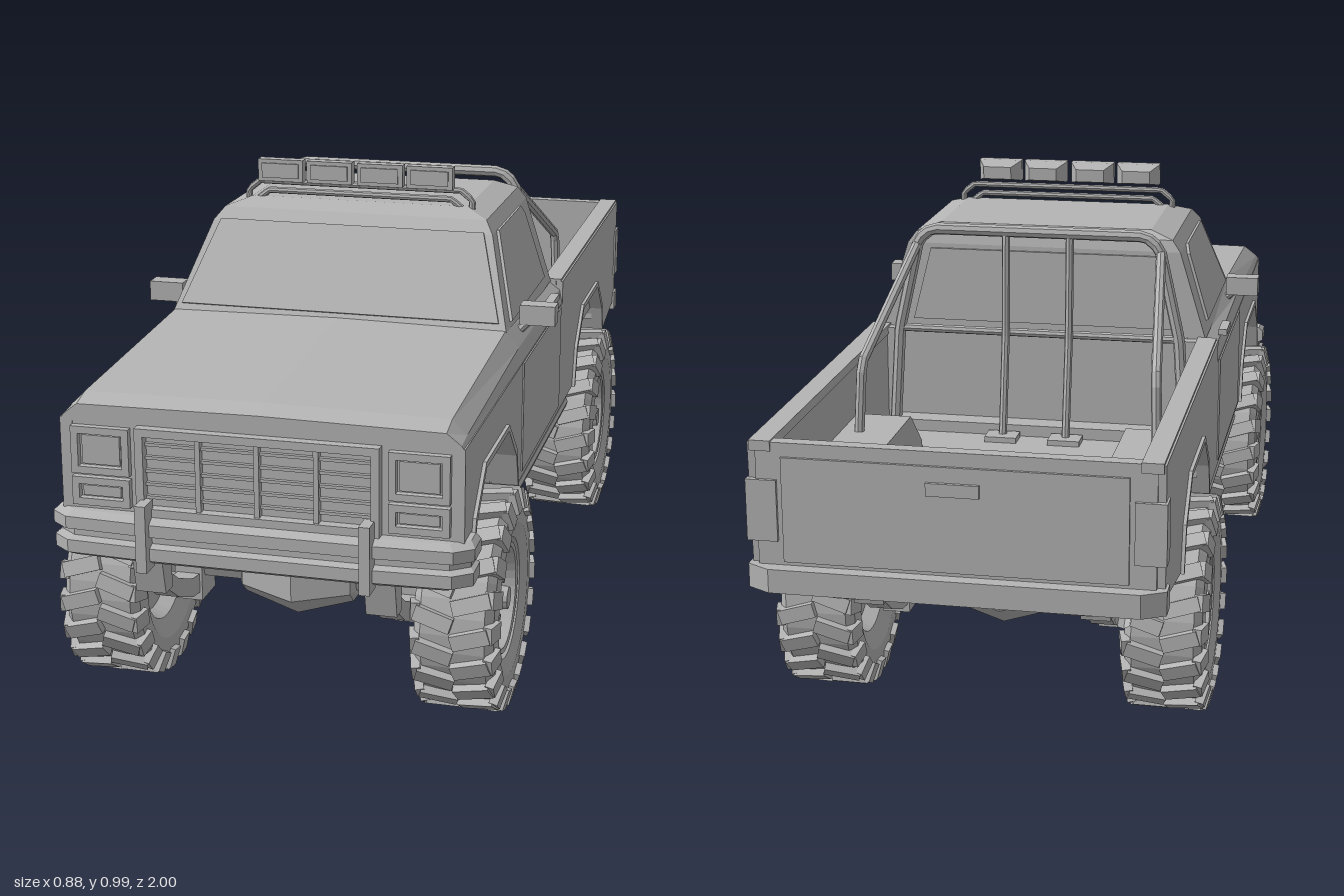
import * as THREE from 'three';
import { mergeGeometries } from 'three/addons/utils/BufferGeometryUtils.js';

const grey = new THREE.MeshStandardMaterial({ color: 0xb4b4b4, flatShading: true, side: THREE.DoubleSide });
grey.name = 'plain grey';
const V = (x, y, z) => new THREE.Vector3(x, y, z);

export function createModel() {
  const truck = new THREE.Group();
  truck.name = 'pickupTruck';

  function add(name, geometry, parent = truck) {
    const mesh = new THREE.Mesh(geometry, grey);
    mesh.name = name;
    parent.add(mesh);
    return mesh;
  }
  // Box given by its lower and upper limits
  const box = (name, [x0, x1], [y0, y1], [z0, z1]) => add(name,
    new THREE.BoxGeometry(x1 - x0, y1 - y0, z1 - z0).translate((x0 + x1) / 2, (y0 + y1) / 2, (z0 + z1) / 2));
  const span = (s, a, b) => s > 0 ? [a, b] : [-b, -a];

  // Pipe with mitred bends through a few points
  function pipe(name, points, r) {
    const path = new THREE.CurvePath();
    for (let i = 1; i < points.length; i++) path.add(new THREE.LineCurve3(V(...points[i - 1]), V(...points[i])));
    return add(name, new THREE.TubeGeometry(path, 10 * (points.length - 1), r, 8));
  }
  // Closed skin through rings of points, capped at both ends
  function loft(name, rings) {
    const n = rings[0].length, pos = [];
    const tri = (...p) => p.forEach(q => pos.push(...q));
    for (let k = 0; k + 1 < rings.length; k++) for (let i = 0; i < n; i++) {
      const j = (i + 1) % n, a = rings[k], b = rings[k + 1];
      tri(a[i], a[j], b[j]);
      tri(a[i], b[j], b[i]);
    }
    const last = rings[rings.length - 1];
    for (let i = 1; i + 1 < n; i++) {
      tri(rings[0][0], rings[0][i + 1], rings[0][i]);
      tri(last[0], last[i], last[i + 1]);
    }
    const g = new THREE.BufferGeometry();
    g.setAttribute('position', new THREE.Float32BufferAttribute(pos, 3));
    g.computeVertexNormals();
    return add(name, g);
  }
  // Thin plate from a flat outline pushed along an offset
  const plate = (name, pts, [dx, dy, dz]) => loft(name, [pts, pts.map(([x, y, z]) => [x + dx, y + dy, z + dz])]);
  // Side outline (z, y) extruded across x
  function sidePanel(name, pts, [x0, x1]) {
    const shape = new THREE.Shape(pts.map(p => new THREE.Vector2(...p)));
    const g = new THREE.ExtrudeGeometry(shape, { depth: x1 - x0, bevelEnabled: false });
    return add(name, g.rotateY(-Math.PI / 2).translate(x1, 0, 0));
  }

  const axles = [0.67, -0.5];
  const arch = (z, grow = 0) => [[0.22, 0.37], [0.195, 0.45], [0.11, 0.53], [-0.11, 0.53], [-0.195, 0.45], [-0.22, 0.37]]
    .map(([dz, y]) => [z + dz * (1 + grow), y === 0.37 ? y : y + grow * 0.3]);

  // Hood, cowl and cab shoulders
  const hood = [[-0.1, 0.65, 0.672], [0.4, 0.655, 0.688], [0.9, 0.632, 0.66], [0.945, 0.626, 0.648]];
  loft('hoodAndShoulders', hood.map(([z, a, b]) => [[-0.39, 0.615, z], [0.39, 0.615, z], [0.383, a, z],
    [0.355, b, z], [0, b + 0.004, z], [-0.355, b, z], [-0.383, a, z]]));

  // Cab
  const cab = [[0.67, 0.362, 0.412, -0.1], [0.86, 0.303, 0.287, -0.095], [0.885, 0.285, 0.262, -0.088], [0.902, 0.235, 0.22, -0.065]];
  loft('cab', cab.map(([y, w, f, b]) => [[w, y, f], [w, y, b], [-w, y, b], [-w, y, f]]));
  const cabX = y => 0.362 - (y - 0.67) * 0.31;
  const cabZ = y => 0.412 - (y - 0.67) * 0.658;
  plate('windshield', [[-0.34, 0.7], [0.34, 0.7], [0.285, 0.862], [-0.285, 0.862]].map(([x, y]) => [x, y, cabZ(y)]), [0, 0.003, 0.006]);
  plate('rearWindow', [[0.29, 0.69, -0.1], [-0.29, 0.69, -0.1], [-0.25, 0.85, -0.096], [0.25, 0.85, -0.096]], [0, 0, -0.006]);

  // Floors, engine bay and bed
  box('chassisCore', [-0.25, 0.25], [0.385, 0.62], [-0.1, 0.9]);
  box('cabFloor', [-0.375, 0.375], [0.385, 0.62], [-0.1, 0.44]);
  box('frontFascia', [-0.388, 0.388], [0.44, 0.618], [0.88, 0.944]);
  box('bedFloor', [-0.235, 0.235], [0.42, 0.45], [-0.96, -0.1]);
  box('bedFrontWall', [-0.375, 0.375], [0.42, 0.67], [-0.125, -0.098]);
  box('tailgate', [-0.375, 0.375], [0.41, 0.672], [-0.972, -0.945]);
  box('tailgatePanel', [-0.325, 0.325], [0.44, 0.645], [-0.978, -0.97]);
  box('tailgateHandle', [-0.05, 0.05], [0.59, 0.615], [-0.985, -0.977]);

  for (const s of [1, -1]) {
    // Body sides with wheel openings
    sidePanel('bodySide', [[0.945, 0.62], [0.945, 0.44], [0.91, 0.375], ...arch(axles[0]), ...arch(axles[1]),
      [-0.96, 0.41], [-0.97, 0.67], [-0.1, 0.67], [-0.1, 0.62]], span(s, 0.365, 0.39));
    box('bedRail', span(s, 0.345, 0.386), [0.655, 0.675], [-0.975, -0.1]);
    box('bedInnerWall', span(s, 0.347, 0.366), [0.45, 0.66], [-0.96, -0.1]);
    box('bedFloorFront', span(s, 0.235, 0.37), [0.42, 0.45], [-0.3, -0.1]);
    box('bedFloorRear', span(s, 0.235, 0.37), [0.42, 0.45], [-0.96, -0.7]);
    for (const z of axles) {
      sidePanel('wheelWell', [...arch(z, 0.06), ...arch(z).reverse()], span(s, 0.24, 0.387));
      sidePanel('wheelWellInnerWall', arch(z, 0.06), span(s, 0.23, 0.245));
      sidePanel('archLip', [...arch(z, 0.04), ...arch(z).reverse()], span(s, 0.38, 0.397));
    }
    // Doors and side glass
    box('door', span(s, 0.388, 0.393), [0.385, 0.618], [-0.07, 0.385]);
    box('doorHandle', span(s, 0.38, 0.399), [0.655, 0.668], [0.0, 0.08]);
    plate('sideWindow', [[0.35, 0.695], [0.245, 0.86], [0.0, 0.86], [-0.02, 0.84], [-0.03, 0.695]]
      .map(([z, y]) => [s * cabX(y), y, z]), [s * 0.006, 0.002, 0]);
    // Door mirror
    box('mirror', span(s, 0.368, 0.442), [0.68, 0.722], [0.275, 0.315]);
    pipe('mirrorArm', [[s * 0.36, 0.66, 0.31], [s * 0.39, 0.69, 0.3]], 0.009);
    // Headlamps
    for (const [y0, y1] of [[0.515, 0.608], [0.452, 0.508]]) {
      const [x0, x1] = span(s, 0.25, 0.365), f = 0.014;
      box('lampRimTop', [x0, x1], [y1 - f, y1], [0.94, 0.958]);
      box('lampRimBottom', [x0, x1], [y0, y0 + f], [0.94, 0.958]);
      box('lampRimSide', [x0, x0 + f], [y0, y1], [0.94, 0.958]);
      box('lampRimSide', [x1 - f, x1], [y0, y1], [0.94, 0.958]);
      box('lampLens', [x0 + 0.02, x1 - 0.02], [y0 + 0.018, y1 - 0.018], [0.94, 0.951]);
    }
    box('tailLamp', span(s, 0.335, 0.394), [0.48, 0.6], [-0.979, -0.935]);
    box('bumperGuard', span(s, 0.205, 0.226), [0.342, 0.475], [0.955, 1]);
    // Side steps
    pipe('sideStep', [[s * 0.33, 0.375, 0.45], [s * 0.375, 0.342, 0.42], [s * 0.375, 0.342, -0.25], [s * 0.33, 0.375, -0.28]], 0.012);
    for (const z of [0.3, 0.08, -0.14]) box('stepBracket', span(s, 0.3, 0.375), [0.345, 0.39], [z - 0.012, z + 0.012]);
    // Frame rail, leaf springs and hangers
    box('frameRail', span(s, 0.2, 0.25), [0.35, 0.43], [-0.92, 0.9]);
    for (const z of axles) {
      const rings = [-0.24, -0.16, -0.08, 0, 0.08, 0.16, 0.24].map(d => {
        const y = 0.2 + 0.1 * (d / 0.24) ** 2, [a, b] = span(s, 0.205, 0.252);
        return [[a, y - 0.02, z + d], [b, y - 0.02, z + d], [b, y + 0.02, z + d], [a, y + 0.02, z + d]];
      });
      loft('leafSpring', rings);
      for (const e of [-1, 1]) sidePanel('springHanger', [[z + e * 0.21, 0.4], [z + e * 0.28, 0.4], [z + e * 0.25, 0.27], [z + e * 0.215, 0.27]], span(s, 0.198, 0.258));
      box('springClamp', span(s, 0.2, 0.257), [0.168, 0.27], [z - 0.04, z + 0.04]);
      pipe('shockAbsorber', [[s * 0.22, 0.22, z - 0.06], [s * 0.21, 0.42, z - 0.1]], 0.014);
    }
    // Roll bar braces
    pipe('rollBarBrace', [[s * 0.268, 0.87, -0.15], [s * 0.305, 0.69, -0.485], [s * 0.31, 0.54, -0.5]], 0.011);
    pipe('rollBarUpright', [[s * 0.07, 0.45, -0.2], [s * 0.07, 0.68, -0.16], [s * 0.07, 0.9, -0.15]], 0.009);
    box('uprightFoot', span(s, 0.035, 0.105), [0.45, 0.462], [-0.23, -0.18]);
  }
  pipe('rollHoop', [[-0.325, 0.45, -0.15], [-0.31, 0.68, -0.15], [-0.265, 0.88, -0.15], [-0.235, 0.905, -0.15],
    [0.235, 0.905, -0.15], [0.265, 0.88, -0.15], [0.31, 0.68, -0.15], [0.325, 0.45, -0.15]], 0.013);
  pipe('rollBarCrossTube', [[-0.31, 0.68, -0.15], [0.31, 0.68, -0.15]], 0.009);
  box('rollBarBase', [-0.33, 0.33], [0.45, 0.475], [-0.175, -0.12]);

  // Grille
  for (const y of [0.45, 0.607]) box('grilleFrame', [-0.235, 0.235], [y - 0.008, y + 0.008], [0.94, 0.965]);
  for (const x of [-0.227, 0.227]) box('grilleFrame', [x - 0.008, x + 0.008], [0.45, 0.607], [0.94, 0.965]);
  for (const x of [-0.114, 0, 0.114]) box('grilleUpright', [x - 0.005, x + 0.005], [0.45, 0.607], [0.94, 0.959]);
  for (let i = 1; i < 6; i++) box('grilleSlat', [-0.225, 0.225], [0.448 + i * 0.026, 0.454 + i * 0.026], [0.94, 0.952]);

  // Front and rear bumpers
  const bumperRing = (w, f, y) => [[-w, 0.89], [-w, f - 0.035], [-w + 0.035, f - 0.008], [-0.2, f], [0.2, f], [w - 0.035, f - 0.008], [w, f - 0.035], [w, 0.89]]
    .map(([x, z]) => [x, y, z]);
  loft('frontBumper', [[0.395, 0.965, 0.35], [0.408, 0.982, 0.36], [0.408, 0.982, 0.385], [0.4, 0.966, 0.39], [0.4, 0.966, 0.403],
    [0.41, 0.982, 0.408], [0.41, 0.982, 0.432], [0.4, 0.965, 0.442]].map(r => bumperRing(...r)));
  loft('rearBumper', [0.385, 0.432].map(y => [[0.395, y, -0.935], [0.395, y, -0.975], [0.35, y, -1], [-0.35, y, -1], [-0.395, y, -0.975], [-0.395, y, -0.935]]));

  // Roof lamp bar
  for (const [w, y] of [[0.245, 0.935], [0.225, 0.915]])
    pipe('lampBar', [[-w, 0.89, 0.215], [-w, y - 0.02, 0.215], [-w + 0.025, y, 0.215], [w - 0.025, y, 0.215], [w, y - 0.02, 0.215], [w, 0.89, 0.215]], 0.007);
  for (const x of [-0.162, -0.055, 0.055, 0.162]) {
    const ring = (w, y0, y1, z) => [[x - w, y0, z], [x + w, y0, z], [x + w, y1, z], [x - w, y1, z]];
    loft('roofLamp', [ring(0.032, 0.952, 0.98, 0.195), ring(0.049, 0.943, 0.99, 0.235), ring(0.049, 0.943, 0.99, 0.258)]);
    loft('roofLampLens', [ring(0.04, 0.951, 0.982, 0.257), ring(0.04, 0.951, 0.982, 0.262)]);
  }

  // Axles, differentials and driveline
  for (const z of axles) {
    add('axleTube', new THREE.CylinderGeometry(0.028, 0.028, 0.56, 8).rotateZ(Math.PI / 2).translate(0, 0.235, z));
    const ring = (x, r) => Array.from({ length: 8 }, (_, i) => {
      const a = (i + 0.5) * Math.PI / 4;
      return [x, 0.233 + r * Math.cos(a), z + r * Math.sin(a) * 1.15];
    });
    loft('differential', [ring(-0.118, 0.035), ring(-0.112, 0.045), ring(0, 0.078), ring(0.112, 0.045), ring(0.118, 0.035)]);
    pipe('driveShaft', [[0, 0.25, z], [0, 0.35, z > 0 ? 0.25 : -0.05]], 0.02);
  }
  plate('frontCrossmember', [[-0.03, 0.28, 0.72], [0.03, 0.28, 0.72], [0.057, 0.39, 0.72], [-0.057, 0.39, 0.72]], [0, 0, 0.08]);
  box('gearbox', [-0.09, 0.09], [0.335, 0.39], [-0.08, 0.35]);
  pipe('tailPipe', [[-0.28, 0.38, -0.66], [-0.29, 0.345, -0.73], [-0.31, 0.355, -0.94]], 0.016);

  // Wheels: tyre with rim, staggered tread blocks, hub and nuts
  const tyreProfile = [[0.001, -0.03], [0.1, -0.03], [0.113, -0.06], [0.15, -0.079], [0.19, -0.077], [0.206, -0.062], [0.208, 0.062], [0.19, 0.077],
    [0.15, 0.079], [0.12, 0.068], [0.116, 0.056], [0.11, 0.066], [0.101, 0.064], [0.092, 0.025], [0.065, 0.028], [0.055, 0.042], [0.001, 0.042]]
    .map(p => new THREE.Vector2(...p));
  const tyre = new THREE.LatheGeometry(tyreProfile, 36).rotateZ(-Math.PI / 2);
  const blocks = [];
  for (const s of [1, -1]) for (let i = 0; i < 20; i++) {
    const a = (i + (s > 0 ? 0 : 0.5)) * Math.PI / 10;
    blocks.push(new THREE.BoxGeometry(0.075, 0.022, 0.03).rotateY(s * 0.3).translate(s * 0.036, 0.21, 0).rotateX(a));
    blocks.push(new THREE.BoxGeometry(0.018, 0.042, 0.034).rotateZ(s * 0.25).translate(s * 0.075, 0.196, -0.011).rotateX(a));
  }
  const tread = mergeGeometries(blocks);
  const nuts = mergeGeometries(Array.from({ length: 6 }, (_, i) =>
    new THREE.CylinderGeometry(0.007, 0.007, 0.016, 6).rotateZ(Math.PI / 2).translate(0.045, 0.043, 0).rotateX(i * Math.PI / 3)));
  const hub = new THREE.CylinderGeometry(0.022, 0.027, 0.035, 12).rotateZ(-Math.PI / 2).translate(0.052, 0, 0);
  for (const z of axles) for (const s of [1, -1]) {
    const wheel = new THREE.Group();
    wheel.name = 'wheel';
    add('tyreAndRim', tyre, wheel);
    add('treadBlocks', tread, wheel);
    add('wheelNuts', nuts, wheel);
    add('hubCap', hub, wheel);
    wheel.position.set(s * 0.353, 0.223, z);
    if (s < 0) wheel.rotation.y = Math.PI;
    truck.add(wheel);
  }
  return truck;
}
